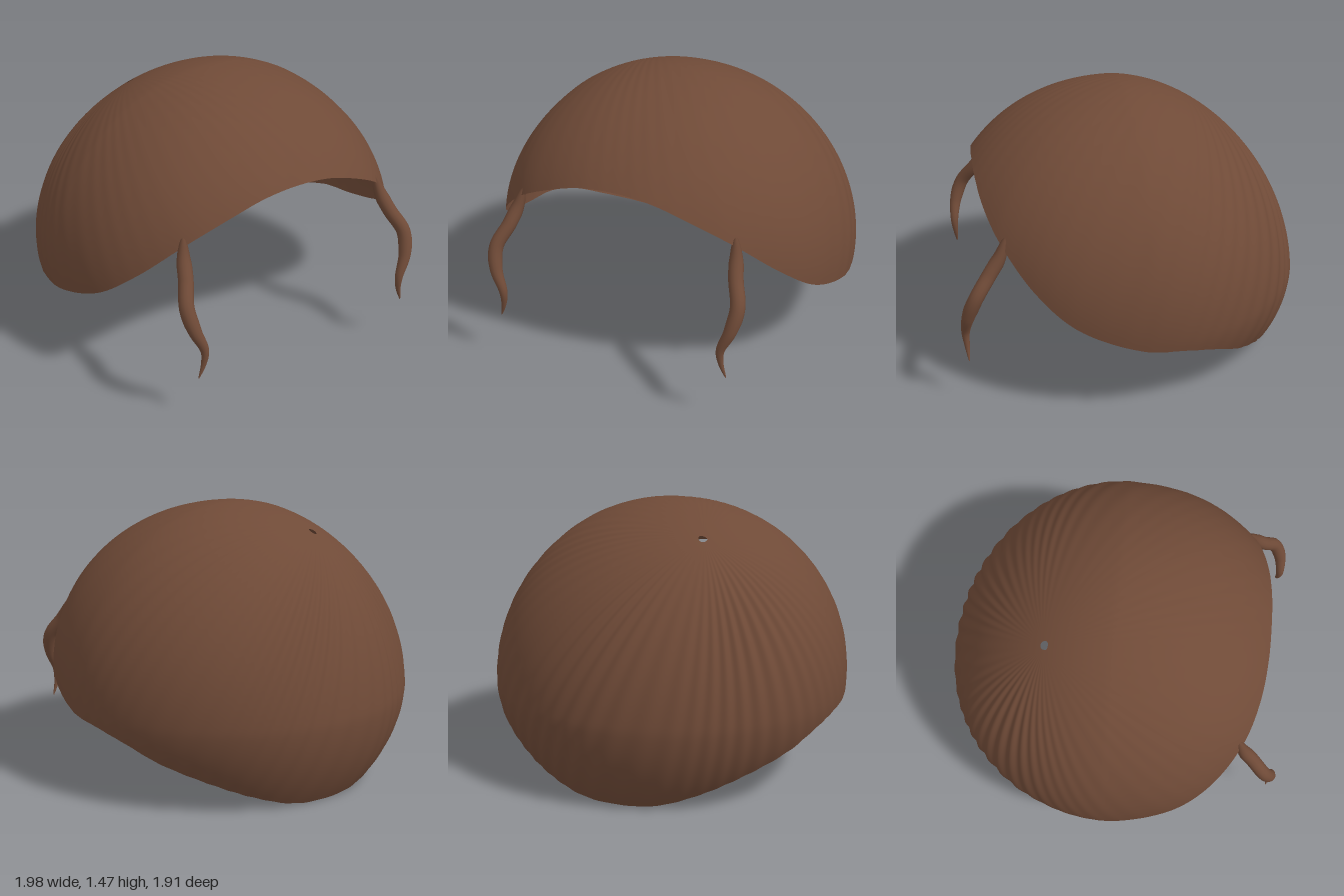
import * as THREE from 'three';

const V = (x, y, z) => new THREE.Vector3(x, y, z);
const CENTRE = V(0, 0.45, 0);

// Distance from the centre to the smooth dome along direction d
function domeRadius(d) {
  const front = d.z > 0;
  const e = front ? 2.3 : 2.05; // squarer plan at the front
  const plan = (Math.abs(d.x) / 1.005) ** e + (Math.abs(d.z) / (front ? 1.07 : 0.95)) ** e;
  const r = 1 / Math.sqrt(plan ** (2 / e) + (d.y / 1.03) ** 2);
  if (front) return r;
  return r * (d.y > 0 ? 1 + 0.1 * d.y * d.z : 1 - 0.25 * d.y * d.y);
}

// Hair shell: strands run from an off-centre crown to a curved rim
function shellGeometry() {
  const half = [
    [0, 1.11, 0.82], [0.2, 1.09, 0.815], [0.4, 1.02, 0.79], [0.6, 0.91, 0.725],
    [0.8, 0.72, 0.575], [0.92, 0.56, 0.38], [0.985, 0.44, 0.06], [0.965, 0.405, -0.17],
    [0.9, 0.35, -0.34], [0.8, 0.27, -0.48], [0.6, 0.165, -0.645], [0.4, 0.08, -0.75],
    [0.2, 0.02, -0.805], [0, 0.005, -0.82],
  ].map(p => V(...p));
  const mirrored = half.slice(1, -1).reverse().map(p => V(-p.x, p.y, p.z));
  const rim = new THREE.CatmullRomCurve3([...half, ...mirrored], true);
  rim.arcLengthDivisions = 800;

  const crown = V(-0.31, 0.91, -0.36).normalize();
  const around = 480, rows = 56, pos = [], index = [];
  const rims = rim.getSpacedPoints(around);
  for (let i = 0; i <= rows; i++) {
    const t = 0.015 + 0.985 * i / rows;
    for (let j = 0; j < around; j++) {
      const end = rims[j].clone().sub(CENTRE);
      const length = end.length();
      end.normalize();
      const angle = crown.angleTo(end);
      const d = crown.clone().multiplyScalar(Math.sin((1 - t) * angle))
        .addScaledVector(end, Math.sin(t * angle)).normalize();
      let r = domeRadius(d);
      r *= THREE.MathUtils.lerp(1, length / domeRadius(end), t ** 5);
      // Grooves, strongest at the back and fading at the front, crown and rim
      const a = j / around * Math.PI * 2;
      const back = THREE.MathUtils.smoothstep(-end.z, -0.35, 0.35);
      const fade = THREE.MathUtils.smoothstep(t, 0.03, 0.5) * (1 - 0.75 * t ** 4);
      const depth = 0.0075 * (0.1 + 0.9 * back) * fade;
      r += depth * Math.sin(54 * a + 2 * Math.sin(3 * a) + 1.5 * Math.sin(7 * a))
        * (0.7 + 0.3 * Math.sin(5 * a + 1));
      const p = d.multiplyScalar(r).add(CENTRE);
      pos.push(p.x, Math.max(0, p.y), p.z);
      if (i < rows) {
        const k = (j + 1) % around, m = i * around, n = m + around;
        index.push(m + j, n + j, m + k, n + j, n + k, m + k);
      }
    }
  }
  const g = new THREE.BufferGeometry();
  g.setAttribute('position', new THREE.Float32BufferAttribute(pos, 3));
  g.setIndex(index);
  g.computeVertexNormals();
  return g;
}

// Wavy lock tapering at both ends
function lockGeometry(side) {
  const path = new THREE.CatmullRomCurve3([
    [0.6, 0.945, 0.695], [0.62, 0.85, 0.73], [0.645, 0.76, 0.79], [0.687, 0.655, 0.865],
    [0.67, 0.54, 0.91], [0.625, 0.42, 0.928], [0.63, 0.34, 0.925], [0.655, 0.26, 0.92],
  ].map(([x, y, z]) => V(side * x, y, z)));
  const segments = 48, sides = 14;
  const g = new THREE.TubeGeometry(path, segments, 1, sides);
  const p = g.attributes.position, v = V(0, 0, 0);
  for (let i = 0; i <= segments; i++) {
    const u = i / segments, c = path.getPointAt(u);
    const r = 0.002 + 0.036 * Math.min(1, Math.sqrt(u / 0.18)) * Math.min(1, ((1 - u) / 0.45) ** 0.8);
    for (let j = 0; j <= sides; j++) {
      const k = i * (sides + 1) + j;
      v.fromBufferAttribute(p, k).sub(c).multiplyScalar(r).add(c);
      p.setXYZ(k, v.x, v.y, v.z);
    }
  }
  return g;
}

export function createModel() {
  const group = new THREE.Group();
  group.name = 'hair';
  const brown = new THREE.MeshStandardMaterial({ color: 0x6f4a37, side: THREE.DoubleSide });
  brown.name = 'brown hair';

  const add = (name, geometry) => {
    const mesh = new THREE.Mesh(geometry, brown);
    mesh.name = name;
    group.add(mesh);
  };
  add('hairShell', shellGeometry());
  add('leftLock', lockGeometry(1));
  add('rightLock', lockGeometry(-1));
  return group;
}
